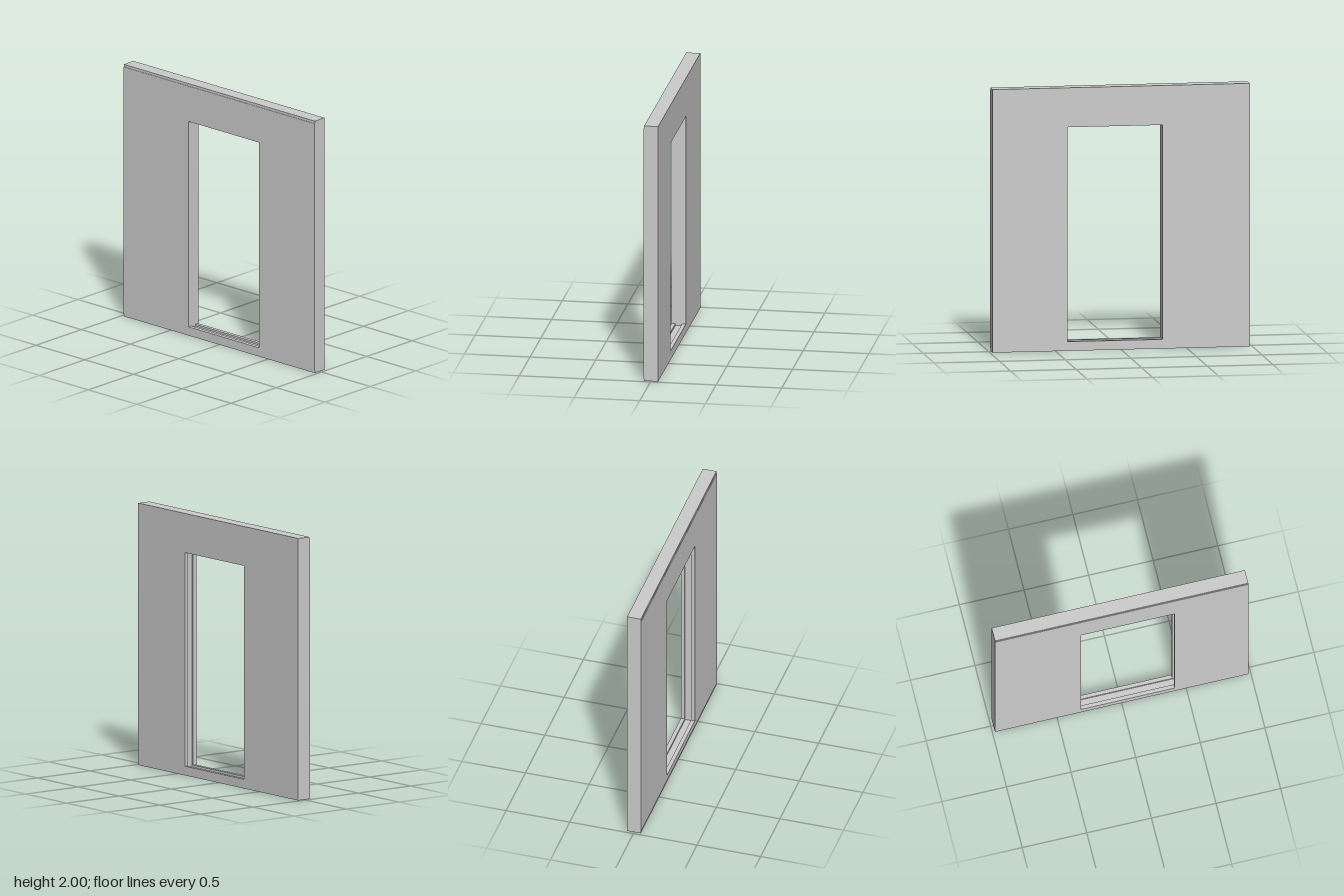
import * as THREE from 'three';

const material = new THREE.MeshStandardMaterial({ color: 0xcccccc, flatShading: true });

const HALF = 0.98;
const opening = { z0: -0.315, z1: 0.41, y0: 0.07, y1: 1.7 };
const GROOVE = 0.015;

function trace(path, z0, z1, y0, y1) {
  path.moveTo(z0, y0);
  path.lineTo(z1, y0);
  path.lineTo(z1, y1);
  path.lineTo(z0, y1);
  path.closePath();
  return path;
}

// One upright layer of the wall between x0 and x1, with the doorway cut out.
// The groove widens the doorway at the sill and at the +z jamb only.
function wallLayer(name, x0, x1, y0, y1, groove = 0) {
  const shape = trace(new THREE.Shape(), -HALF, HALF, y0, y1);
  const o = opening;
  shape.holes.push(trace(new THREE.Path(), o.z0, o.z1 + groove, o.y0 - groove, o.y1));
  const geometry = new THREE.ExtrudeGeometry(shape, { depth: x1 - x0, bevelEnabled: false });
  geometry.rotateY(-Math.PI / 2); // shape x becomes z, depth runs towards -x
  geometry.translate(x1, 0, 0);
  const mesh = new THREE.Mesh(geometry, material);
  mesh.name = name;
  return mesh;
}

export function createModel() {
  const group = new THREE.Group();
  group.name = 'wallWithDoorway';
  group.add(
    // outer layers form the lips of the sliding track, the core is its channel
    wallLayer('leftWallLayer', 0.025, 0.055, 0, 2),
    wallLayer('grooveCore', -0.025, 0.025, 0, 2, GROOVE),
    wallLayer('rightWallLayer', -0.052, -0.025, 0, 2),
    // thin facing, set back slightly from the floor and the top
    wallLayer('rightFacing', -0.055, -0.052, 0.02, 1.98),
  );
  return group;
}
